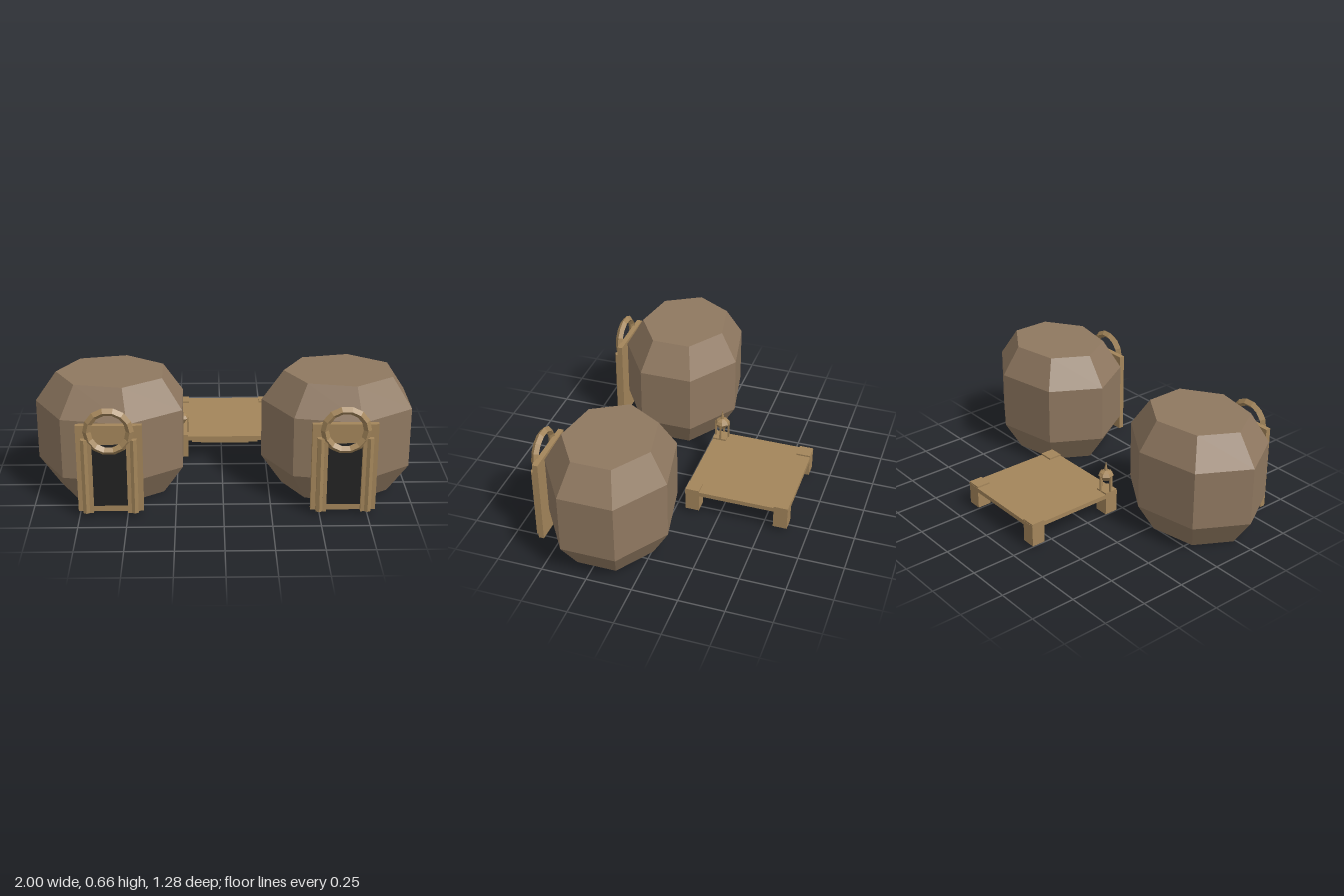
import * as THREE from 'three';

const stone = new THREE.MeshStandardMaterial({ name: 'stoneBrown', color: 0x8f7860, flatShading: true });
const wood = new THREE.MeshStandardMaterial({ name: 'wood', color: 0xa3855a, flatShading: true });
const dark = new THREE.MeshStandardMaterial({ name: 'darkDoor', color: 0x222222, flatShading: true });

function add(parent, name, geometry, material, x = 0, y = 0, z = 0) {
  const flat = geometry.index ? geometry.toNonIndexed() : geometry;
  flat.computeVertexNormals();
  const mesh = new THREE.Mesh(flat, material);
  mesh.name = name;
  mesh.position.set(x, y, z);
  parent.add(mesh);
  return mesh;
}

// Box given by centre x/z, bottom and top heights
function slab(parent, name, material, w, d, y0, y1, x, z) {
  return add(parent, name, new THREE.BoxGeometry(w, y1 - y0, d), material, x, (y0 + y1) / 2, z);
}

// Closed profile of [radius, height] pairs, turned around y
function turned(profile, sides, start = 0) {
  const points = profile.map(([r, y]) => new THREE.Vector2(r, y));
  return new THREE.LatheGeometry(points, sides, start);
}

// Seven-sided boulder hut
function createHut() {
  const hut = new THREE.Group();
  hut.name = 'hut';
  const shell = turned([[0, 0], [0.298, 0], [0.413, 0.165], [0.413, 0.495], [0.298, 0.66], [0, 0.66]], 7, -Math.PI / 2);
  shell.scale(1, 1, 0.835);
  add(hut, 'hutShell', shell, stone, 0, 0, 0.235);

  // Doorway: backing panel, dark door, side posts and ring arch
  const doorway = new THREE.Group();
  doorway.name = 'doorway';
  doorway.position.z = 0.592;
  hut.add(doorway);
  slab(doorway, 'doorPanel', wood, 0.34, 0.03, 0.02, 0.505, 0, 0);
  slab(doorway, 'door', dark, 0.176, 0.008, 0.055, 0.4, 0, 0.019);
  for (const side of [-1, 1]) {
    const post = new THREE.CylinderGeometry(0.021, 0.021, 0.415, 6);
    add(doorway, 'doorPost', post, wood, side * 0.126, 0.2275, 0.026);
    slab(doorway, 'doorJamb', wood, 0.02, 0.025, 0.02, 0.435, side * 0.099, 0.026);
  }
  add(doorway, 'doorArch', new THREE.TorusGeometry(0.11, 0.021, 4, 14), wood, 0, 0.478, 0.027);
  return hut;
}

// Low table with stepped underside and corner legs
function createTable() {
  const table = new THREE.Group();
  table.name = 'table';
  table.position.set(0.02, 0, -0.349);
  slab(table, 'tableTop', wood, 0.58, 0.58, 0.12, 0.145, 0, 0);
  [0.46, 0.38, 0.28].forEach((size, i) => {
    const top = 0.12 - i * 0.027;
    slab(table, 'tableStep', wood, size, size, top - 0.028, top, 0, 0);
  });
  for (const sx of [-1, 1]) {
    for (const sz of [-1, 1]) {
      slab(table, 'tableLeg', wood, 0.078, 0.078, 0.02, 0.154, sx * 0.251, sz * 0.25);
    }
  }
  return table;
}

// Small lantern standing on the corner leg
function createLantern() {
  const lantern = new THREE.Group();
  lantern.name = 'lantern';
  lantern.position.set(-0.231, 0.154, -0.105);
  add(lantern, 'lanternBody', turned([[0, 0.055], [0.022, 0.06], [0.044, 0.092], [0.034, 0.108], [0, 0.124]], 7), wood);
  add(lantern, 'lanternSpike', new THREE.ConeGeometry(0.012, 0.06, 5), wood, 0, 0.146, 0);
  for (let i = 0; i < 4; i++) {
    const a = i * Math.PI / 2;
    slab(lantern, 'lanternPost', wood, 0.01, 0.01, 0, 0.095, Math.cos(a) * 0.038, Math.sin(a) * 0.038);
  }
  return lantern;
}

export function createModel() {
  const model = new THREE.Group();
  model.name = 'campSite';
  for (const x of [-0.587, 0.623]) {
    const hut = createHut();
    hut.position.x = x;
    model.add(hut);
  }
  model.add(createTable(), createLantern());
  return model;
}
